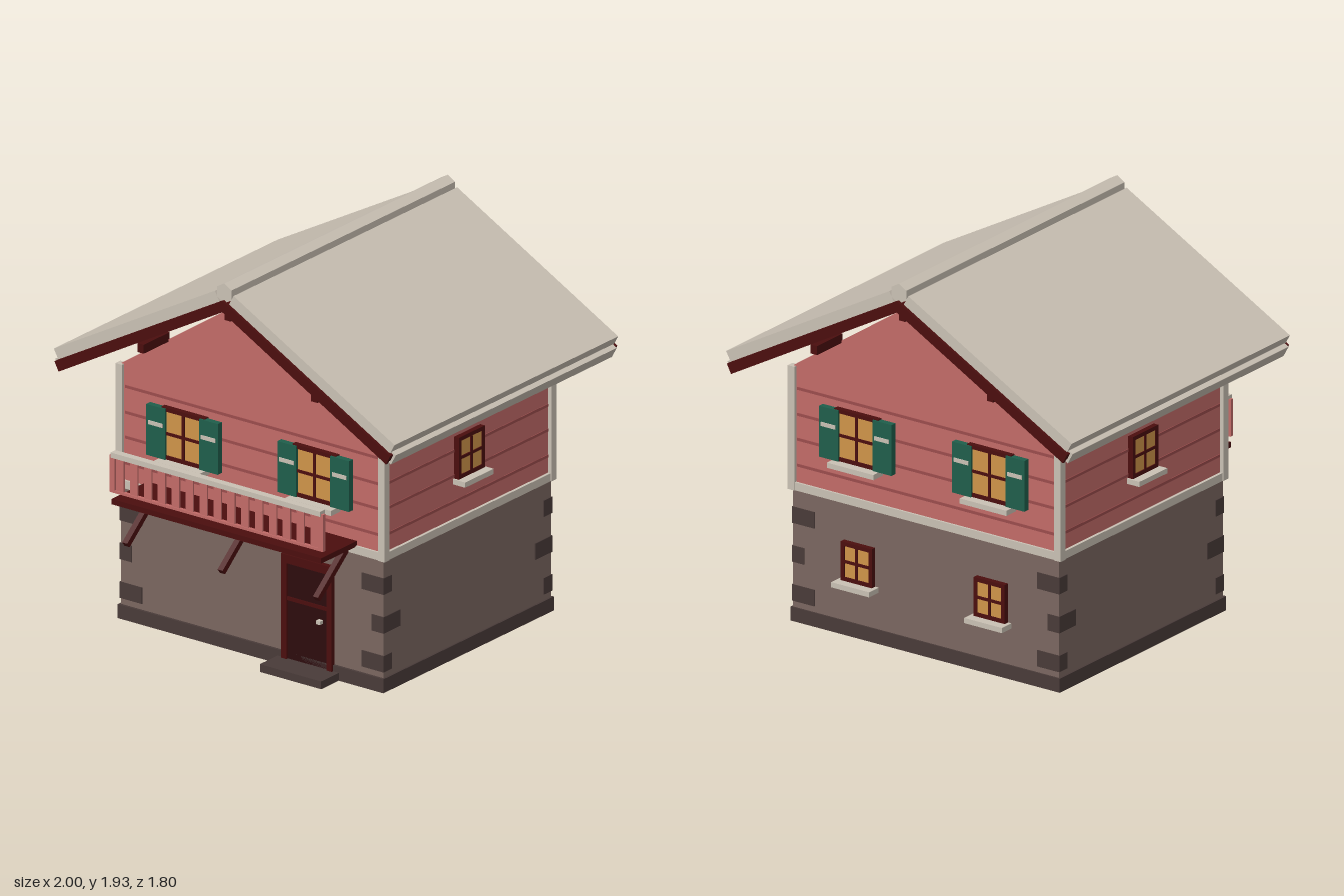
import * as THREE from 'three';

const mat = (name, color, extra = {}) => Object.assign(new THREE.MeshStandardMaterial({ color, ...extra }), { name });

export function createModel() {
  const cream = mat('cream', 0xcac1b4), pink = mat('pinkBoards', 0xc26b68), groove = mat('boardGroove', 0x9c4d4d);
  const stone = mat('stone', 0x7b6760), darkStone = mat('darkStone', 0x493b39);
  const maroon = mat('maroonWood', 0x4b0e0e), doorRed = mat('doorWood', 0x2d0b0d);
  const green = mat('shutterGreen', 0x1f5e4b), amber = mat('amberGlass', 0xcf9549);

  const model = new THREE.Group();
  const house = new THREE.Group();
  house.name = 'house';
  house.position.z = -0.025;
  model.add(house);
  const HX = 0.77, HZ = 0.645; // half width and half depth of the walls

  const add = (parent, name, geo, m) => {
    const mesh = new THREE.Mesh(geo, m);
    mesh.name = name;
    parent.add(mesh);
    return mesh;
  };
  // box given by its ranges on each axis
  const box = (parent, name, m, x0, x1, y0, y1, z0, z1) => {
    const mesh = add(parent, name, new THREE.BoxGeometry(x1 - x0, y1 - y0, z1 - z0), m);
    mesh.position.set((x0 + x1) / 2, (y0 + y1) / 2, (z0 + z1) / 2);
    return mesh;
  };
  // outline in x and y, extruded between -hz and hz
  const prism = (name, m, pts, hz, z = 0) => {
    const shape = new THREE.Shape(pts.map(([x, y]) => new THREE.Vector2(x, y)));
    const geo = new THREE.ExtrudeGeometry(shape, { depth: 2 * hz, bevelEnabled: false });
    geo.translate(0, 0, z - hz);
    return add(house, name, geo, m);
  };

  // Walls, plinth and doorstep
  box(house, 'plinth', darkStone, -0.78, 0.78, 0, 0.07, -HZ - 0.008, HZ + 0.013);
  box(house, 'doorstep', darkStone, 0.16, 0.52, 0.001, 0.04, HZ, 0.795);
  box(house, 'lowerWall', stone, -HX, HX, 0.07, 0.67, -HZ, HZ);
  box(house, 'upperWall', pink, -HX, HX, 0.67, 1.28, -HZ, HZ);
  prism('gable', pink, [[-HX, 1.28], [HX, 1.28], [0, 1.797]], HZ);
  box(house, 'floorBand', cream, -0.785, 0.785, 0.66, 0.7, -0.656, 0.656);
  for (const y of [0.785, 0.915, 1.04, 1.17]) {
    box(house, 'grooveFrontBack', groove, -0.745, 0.745, y - 0.007, y + 0.007, -HZ - 0.003, HZ + 0.003);
    box(house, 'grooveSides', groove, -HX - 0.003, HX + 0.003, y - 0.007, y + 0.007, -0.62, 0.62);
  }

  // Corner posts and alternating corner stones
  for (const sx of [-1, 1]) for (const sz of [-1, 1]) {
    const post = box(house, 'cornerPost', cream, -0.019, 0.019, 0.66, 1.28, -0.019, 0.019);
    post.position.x = sx * 0.771;
    post.position.z = sz * 0.642;
    [0.1, 0.295, 0.49].forEach((y, i) => {
      const w = i === 1 ? 0.07 : 0.13, d = i === 1 ? 0.13 : 0.065;
      const s = box(house, 'cornerStone', darkStone, -w / 2, w / 2, y, y + 0.082, -d / 2, d / 2);
      s.position.x = sx * (0.775 - w / 2);
      s.position.z = sz * (HZ + 0.004 - d / 2);
    });
  }

  // Window facing +z, centred on its own origin
  const makeWindow = (name, w, h, shutters, sillW, sillD) => {
    const g = new THREE.Group();
    g.name = name;
    const x = w / 2, y = h / 2, t = 0.02;
    for (const s of [-1, 1]) {
      box(g, 'frameSide', maroon, s * (x - t / 2) - t / 2, s * (x - t / 2) + t / 2, -y, y, 0, 0.027);
      box(g, 'frameRail', maroon, -x, x, s * (y - t / 2) - t / 2, s * (y - t / 2) + t / 2, 0, 0.027);
    }
    box(g, 'glass', amber, -x + t, x - t, -y + t, y - t, 0.014, 0.022);
    box(g, 'mullion', maroon, -0.007, 0.007, -y + t, y - t, 0.015, 0.028);
    box(g, 'crossbar', maroon, -x + t, x - t, -0.007, 0.007, 0.015, 0.028);
    box(g, 'sill', cream, -sillW / 2, sillW / 2, -y - 0.026, -y, 0, sillD);
    if (shutters) for (const s of [-1, 1]) {
      const c = s * 0.155;
      box(g, 'shutter', green, c - 0.055, c + 0.055, -y, y - 0.005, 0.004, 0.035);
      box(g, 'shutterBar', cream, c - 0.042, c + 0.042, 0.028, 0.048, 0.034, 0.039);
    }
    house.add(g);
    return g;
  };
  for (const s of [-1, 1]) {
    makeWindow('frontWindow', 0.255, 0.26, true, 0.27, 0.075).position.set(s * 0.385, 1.003, HZ);
    const back = makeWindow('backWindow', 0.255, 0.26, true, 0.27, 0.075);
    back.position.set(s * 0.385, 1.003, -HZ);
    back.rotation.y = Math.PI;
    const low = makeWindow('lowerBackWindow', 0.18, 0.195, false, 0.22, 0.075);
    low.position.set(s * 0.385, 0.377, -HZ);
    low.rotation.y = Math.PI;
    const side = makeWindow('sideWindow', 0.2, 0.21, false, 0.22, 0.072);
    side.position.set(s * HX, 1.005, 0);
    side.rotation.y = s * Math.PI / 2;
  }

  // Door
  box(house, 'doorFrameLeft', maroon, 0.455, 0.485, 0.04, 0.565, HZ, 0.67);
  box(house, 'doorFrameRight', maroon, 0.19, 0.22, 0.04, 0.565, HZ, 0.67);
  box(house, 'doorFrameTop', maroon, 0.22, 0.455, 0.522, 0.565, HZ, 0.67);
  box(house, 'doorPanel', doorRed, 0.22, 0.455, 0.04, 0.522, HZ, 0.658);
  box(house, 'doorCrossbar', maroon, 0.22, 0.455, 0.335, 0.353, HZ, 0.664);
  box(house, 'doorHandle', cream, 0.403, 0.427, 0.264, 0.282, 0.655, 0.682);

  // Balcony floor, struts and railing
  const balcony = new THREE.Group();
  balcony.name = 'balcony';
  house.add(balcony);
  box(balcony, 'balconyFloor', maroon, -0.615, 0.615, 0.695, 0.722, HZ, 0.92);
  for (const x of [-0.56, 0, 0.56]) {
    const strut = add(balcony, 'strut', new THREE.BoxGeometry(0.03, 0.03, 0.305), maroon);
    strut.position.set(x, 0.59, 0.765);
    strut.rotation.x = Math.atan2(0.19, 0.23);
  }
  box(balcony, 'handrail', cream, -0.615, 0.615, 0.932, 0.958, 0.89, 0.928);
  box(balcony, 'bottomRail', pink, -0.625, 0.625, 0.755, 0.768, 0.902, 0.92);
  for (let i = -7; i <= 7; i++) {
    const x = i * 0.0815;
    box(balcony, 'baluster', pink, x - 0.022, x + 0.022, 0.765, 0.935, 0.906, 0.915);
  }
  for (const s of [-1, 1]) box(balcony, 'railPost', pink, s * 0.612 - 0.015, s * 0.612 + 0.015, 0.757, 0.942, 0.902, 0.92);

  // Roof: sloping slabs, eave strips, ridge cap, soffit and bargeboards
  const chevron = (t) => [[0, 1.852], [0.985, 1.31], [0.985 - t * 0.42, 1.31 - t * 0.82], [0, 1.852 - t],
    [-0.985 + t * 0.42, 1.31 - t * 0.82], [-0.985, 1.31]];
  prism('soffit', maroon, chevron(0.04), 0.858);
  for (const s of [-1, 1]) prism('bargeboard', maroon, chevron(0.057), 0.0075, s * 0.8675);
  const slope = Math.atan(0.55);
  for (const s of [-1, 1]) {
    const slab = add(house, 'roofSlab', new THREE.BoxGeometry(1.079, 0.055, 1.72), cream);
    slab.position.set(s * 0.5145, 1.601, 0);
    slab.rotation.z = -s * slope;
    const eave = add(house, 'eaveStrip', new THREE.BoxGeometry(0.045, 0.06, 1.7), cream);
    eave.position.set(s * 0.966, 1.295, 0);
    eave.rotation.z = -s * slope;
  }
  const ridge = add(house, 'ridgeCap', new THREE.CylinderGeometry(0.05, 0.05, 1.72, 6).toNonIndexed(), cream);
  ridge.geometry.computeVertexNormals();
  ridge.rotation.x = Math.PI / 2;
  ridge.position.y = 1.885;

  // Purlin ends under the overhangs
  for (const s of [-1, 1]) for (const [x, y] of [[-0.51, 1.477], [0, 1.762], [0.51, 1.477]]) {
    const purlin = add(house, 'purlin', new THREE.BoxGeometry(0.037, 0.045, 0.2), maroon);
    purlin.position.set(x, y, s * (HZ + 0.09));
  }
  return model;
}
